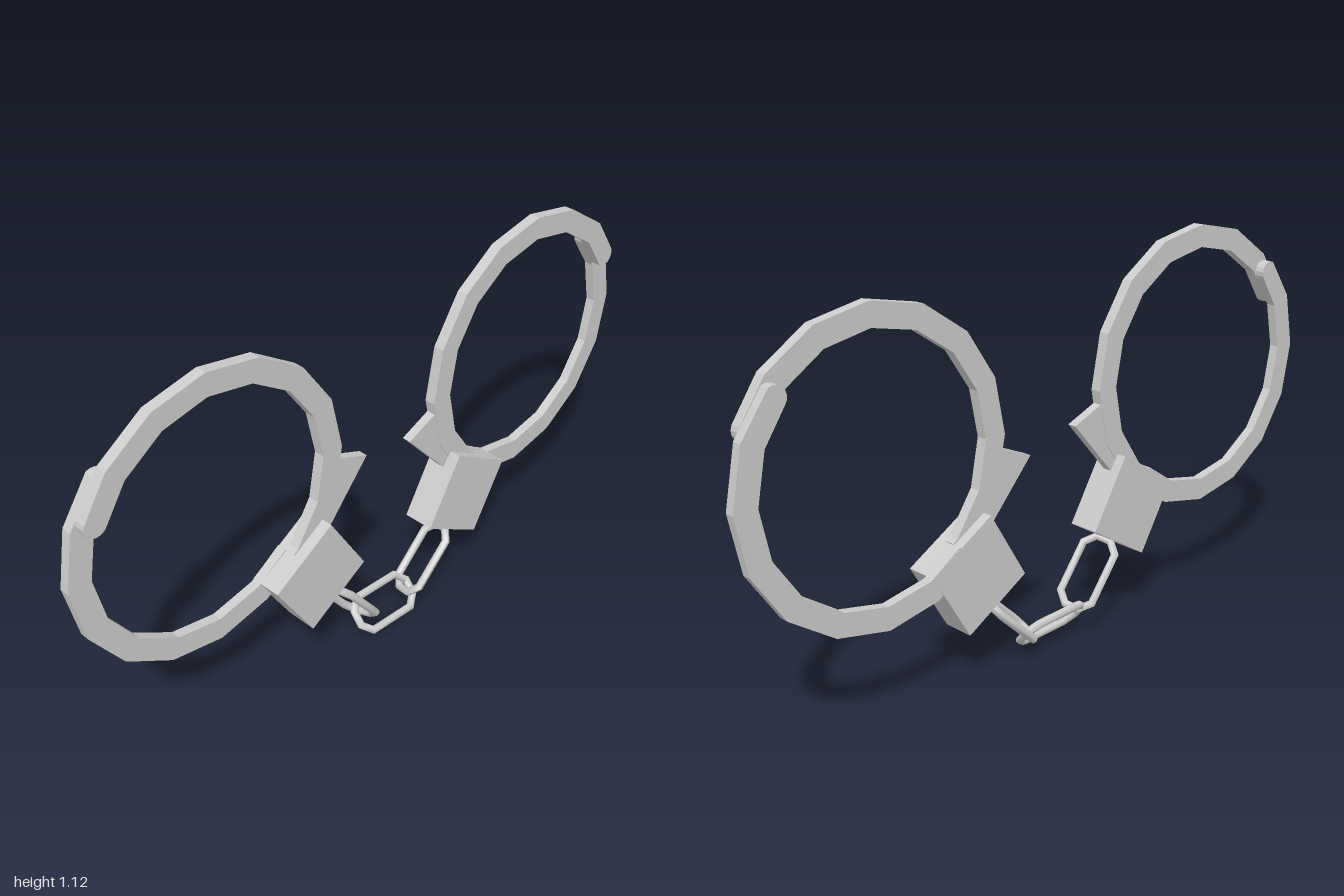
import * as THREE from 'three';

const STEP = Math.PI / 8; // rings are sixteen-sided
const OUTER = 0.412, INNER = 0.347;
const rad = THREE.MathUtils.degToRad;
const steel = new THREE.MeshStandardMaterial({ color: 0xcccccc });

function part(name, geometry) {
  const mesh = new THREE.Mesh(geometry, steel);
  mesh.name = name;
  return mesh;
}

// Point at any angle on the sixteen-sided outline of radius r
function onRing(r, a) {
  const off = a - Math.floor(a / STEP + 1e-9) * STEP - STEP / 2;
  const d = r * Math.cos(STEP / 2) / Math.cos(off);
  return new THREE.Vector2(d * Math.cos(a), d * Math.sin(a));
}

// Extrude an outline between two depths; side = -1 mirrors it in x
function plate(points, side, back, front) {
  const shape = new THREE.Shape(points.map(p => new THREE.Vector2(p.x * side, p.y)));
  const geometry = new THREE.ExtrudeGeometry(shape, { depth: front - back, bevelEnabled: false });
  return geometry.translate(0, 0, back);
}

// Half-round end across a ring arm, from its outer to its inner edge
function roundCap(a, dir) {
  const o = onRing(OUTER, a), i = onRing(INNER, a);
  const mid = o.clone().add(i).multiplyScalar(0.5);
  const half = o.clone().sub(mid);
  const along = new THREE.Vector2(-half.y, half.x).multiplyScalar(dir);
  const pts = [];
  for (let k = 0; k <= 8; k++) {
    const t = k * Math.PI / 8;
    pts.push(mid.clone().addScaledVector(half, Math.cos(t)).addScaledVector(along, Math.sin(t)));
  }
  return pts;
}

// Arm outline from degree a to degree b, rounded at one of its ends
function armOutline(a, b, capAtEnd) {
  const from = rad(a), to = rad(b), angles = [from];
  for (let k = Math.floor(from / STEP) + 1; k * STEP < to - 1e-6; k++) angles.push(k * STEP);
  angles.push(to);
  const outer = angles.map(t => onRing(OUTER, t));
  const inner = angles.map(t => onRing(INNER, t)).reverse();
  if (capAtEnd) return [...outer.slice(0, -1), ...roundCap(to, 1), ...inner.slice(1)];
  return [...outer, ...inner.slice(0, -1), ...roundCap(from, -1).reverse().slice(0, -1)]
    .filter((p, i) => i > 0);
}

// side -1: cuff whose lock is at +x; the other is its mirror image
function makeCuff(name, side, x, y) {
  const cuff = new THREE.Group();
  cuff.name = name;
  cuff.position.set(x, y, 0);
  cuff.add(part('upperArm', plate(armOutline(-48, 153, true), side, -0.027, 0.005)));
  cuff.add(part('lowerArm', plate(armOutline(140, 312, false), side, -0.055, -0.027)));

  // Pointed tip leaving the lock
  const tip = [[0.406, -0.039], [0.504, -0.08], [0.358, -0.245], [0.34, -0.2], [0.37, -0.05]];
  cuff.add(part('armTip', plate(tip.map(([u, v]) => new THREE.Vector2(u, v)), side, -0.025, 0.002)));

  const lock = part('lockBox', new THREE.BoxGeometry(0.229, 0.229, 0.094));
  lock.position.set(0.296 * side, -0.355, -0.009);
  lock.rotation.z = rad(31) * side;
  cuff.add(lock);
  return cuff;
}

// Eight-cornered ring stretched lengthwise into a chain link
function makeLink(name, position, along, normal) {
  const geometry = new THREE.TorusGeometry(0.057, 0.012, 8, 8).rotateZ(STEP);
  const p = geometry.attributes.position;
  for (let i = 0; i < p.count; i++) p.setX(i, p.getX(i) + Math.sign(p.getX(i)) * 0.055);
  geometry.computeVertexNormals();
  const link = part(name, geometry);
  const u = new THREE.Vector3(...along).normalize();
  const w = new THREE.Vector3(...normal).cross(u).normalize();
  const n = u.clone().cross(w);
  link.quaternion.setFromRotationMatrix(new THREE.Matrix4().makeBasis(u, w, n));
  link.position.set(...position);
  return link;
}

export function createModel() {
  const model = new THREE.Group();
  model.name = 'handcuffs';
  model.add(makeCuff('rightCuff', 1, -0.59, 0.709));
  model.add(makeCuff('leftCuff', -1, 0.585, 0.666));

  // Three-link chain between the locks
  const chain = new THREE.Group();
  chain.name = 'chain';
  chain.add(makeLink('rightLink', [-0.165, 0.168, 0], [0.155, -0.205, 0], [0.79, 0.61, -0.3]));
  chain.add(makeLink('middleLink', [-0.015, 0.06, -0.005], [1, -0.06, 0], [0, 0.67, 0.74]));
  chain.add(makeLink('leftLink', [0.147, 0.13, -0.005], [0.175, 0.165, 0], [-0.69, 0.72, -0.3]));
  model.add(chain);
  return model;
}
